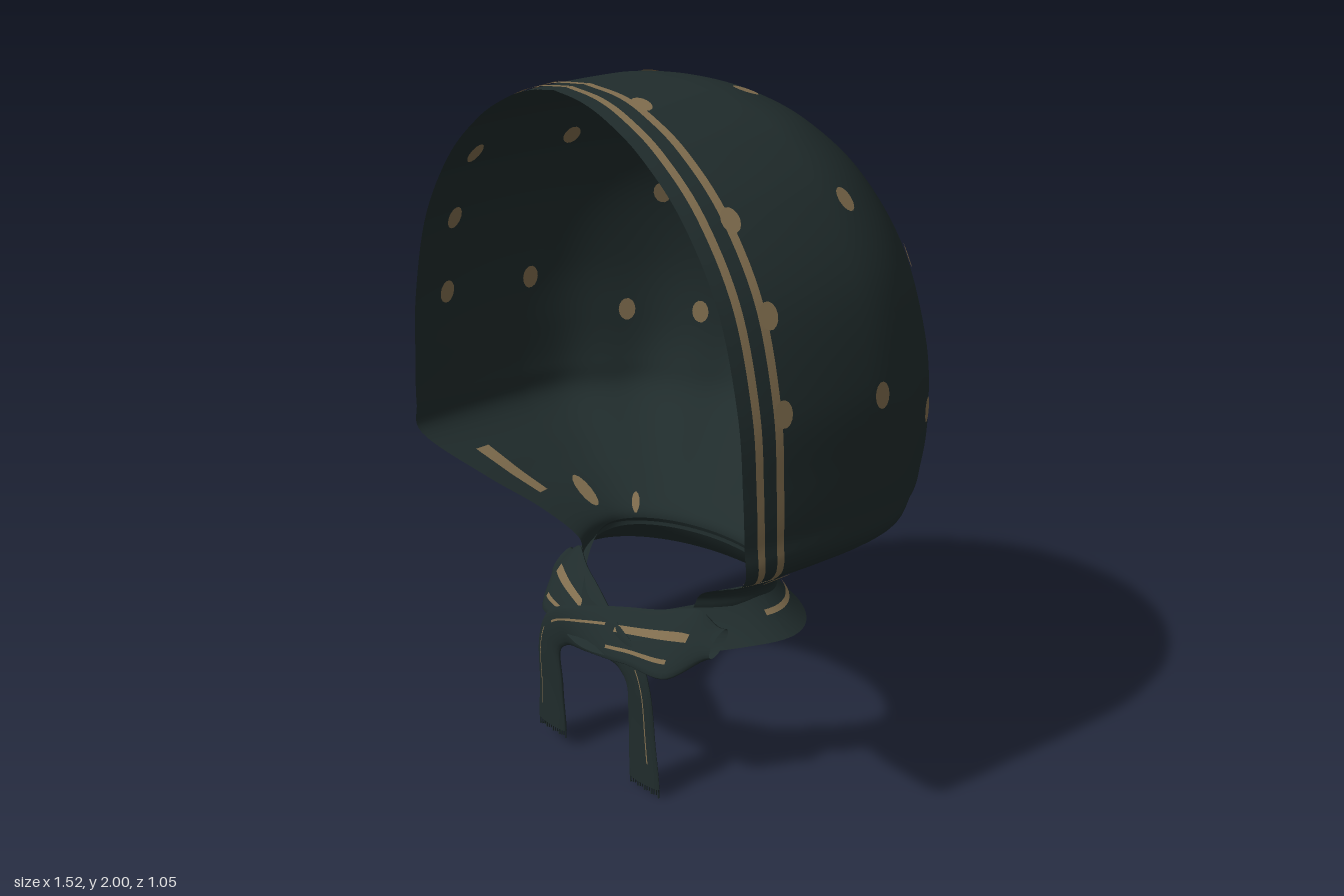
import * as THREE from 'three';

const cloth = new THREE.MeshStandardMaterial({ color: 0x202c2c, side: THREE.DoubleSide });
cloth.name = 'dark cloth';
const tan = new THREE.MeshStandardMaterial({ color: 0x806d4e, side: THREE.DoubleSide });
tan.name = 'tan print';

const V = (x, y, z) => new THREE.Vector3(x, y, z);
const { smoothstep, lerp } = THREE.MathUtils;

// Mesh over a grid: fn(s, t) gives a point, s and t run from 0 to 1
function sheet(name, fn, ns, nt, material) {
  const pos = [], index = [];
  for (let i = 0; i <= ns; i++) {
    for (let j = 0; j <= nt; j++) pos.push(...fn(i / ns, j / nt).toArray());
  }
  for (let i = 0; i < ns; i++) {
    for (let j = 0; j < nt; j++) {
      const a = i * (nt + 1) + j, b = a + nt + 1;
      index.push(a, a + 1, b, b, a + 1, b + 1);
    }
  }
  const g = new THREE.BufferGeometry();
  g.setAttribute('position', new THREE.Float32BufferAttribute(pos, 3));
  g.setIndex(index);
  g.computeVertexNormals();
  const mesh = new THREE.Mesh(g, material);
  mesh.name = name;
  return mesh;
}

// Hood sections from crown to neck: y, half width, rim half width, rim z, middle z, back z
const sections = [
  [2.0, 0, 0, 0.52, 0.2, 0.15],
  [1.985, 0.17, 0.11, 0.52, 0.16, 0.04],
  [1.95, 0.285, 0.215, 0.52, 0.12, -0.07],
  [1.88, 0.42, 0.345, 0.52, 0.1, -0.19],
  [1.75, 0.565, 0.497, 0.52, 0.1, -0.325],
  [1.55, 0.69, 0.63, 0.52, 0.1, -0.437],
  [1.3, 0.75, 0.703, 0.52, 0.1, -0.51],
  [1.1, 0.757, 0.723, 0.52, 0.1, -0.522],
  [0.96, 0.754, 0.73, 0.52, 0.1, -0.49],
  [0.86, 0.735, 0.72, 0.51, 0.1, -0.43],
  [0.75, 0.58, 0.54, 0.41, 0.1, -0.29],
  [0.67, 0.45, 0.4, 0.32, 0.09, -0.19],
  [0.6, 0.355, 0.28, 0.27, 0.08, -0.11],
  [0.55, 0.34, 0.25, 0.27, 0.08, -0.1],
];
const widths = new THREE.CatmullRomCurve3(sections.map(s => V(s[0], s[1], s[2])), false, 'catmullrom');
const depths = new THREE.CatmullRomCurve3(sections.map(s => V(s[3], s[4], s[5])), false, 'catmullrom');

// v: crown to neck; u: -1 and 1 are the two rims, 0 is the middle of the back
function hoodPoint(v, u) {
  const { x: y, y: X, z: xr } = widths.getPoint(v);
  const { x: zf, y: zc, z: zb } = depths.getPoint(v);
  const a = Math.abs(u), side = u < 0 ? -1 : 1;
  if (a > 0.6) {
    const w = (a - 0.6) / 0.4;
    return V(side * (X + (xr - X) * w * w), y, zc + (zf - zc) * w);
  }
  // gathered pleats, strongest between cheek and neck
  const ang = (a / 0.6) * Math.PI / 2;
  const fade = smoothstep(y, 0.55, 0.8) * (1 - smoothstep(y, 0.9, 1.5));
  const k = 1 + 0.018 * fade * Math.cos(ang * 14) * Math.cos(ang);
  return V(side * X * k * Math.sin(ang), y, zc - (zc - zb) * k * Math.cos(ang));
}

function hoodNormal(v, u) {
  const e = 0.004, v0 = Math.max(0, v - e), v1 = Math.min(1, v + e);
  const p = hoodPoint(v, u);
  const du = hoodPoint(v, Math.min(1, u + e)).sub(hoodPoint(v, Math.max(-1, u - e)));
  const dv = hoodPoint(v1, u).sub(hoodPoint(v0, u));
  const n = du.cross(dv).normalize();
  return n.dot(p.sub(V(0, 1.2, 0.15))) < 0 ? n.negate() : n;
}

// Printed dot on both faces of the hood, nearest to a target, with its mirror twin
function dotPair(target, width, height, group) {
  let best = Infinity, bv = 0, bu = 0;
  for (let i = 1; i < 150; i++) {
    for (let j = 0; j < 150; j++) {
      const d = hoodPoint(i / 150, j / 150).distanceToSquared(target);
      if (d < best) { best = d; bv = i / 150; bu = j / 150; }
    }
  }
  for (const side of [-1, 1]) {
    const p = hoodPoint(bv, bu * side), n = hoodNormal(bv, bu * side);
    for (const face of [-1, 1]) {
      const dot = new THREE.Mesh(new THREE.CircleGeometry(1, 14), tan);
      dot.name = 'printedDot';
      dot.position.copy(p).addScaledVector(n, face * 0.004);
      dot.lookAt(dot.position.clone().addScaledVector(n, face));
      dot.scale.set(width, height, 1);
      group.add(dot);
    }
  }
}

// Stripe that keeps a distance of d0 to d1 from the rim, between rows v0 and v1
function rimStripe(name, side, v0, v1, d0, d1, lift) {
  return sheet(name, (s, t) => {
    const v = lerp(v0, v1, s), z = depths.getPoint(v);
    const gap = v < 0.3 ? z.x - z.y : 0.42;
    const u = side * (1 - 0.4 * lerp(d0, d1, t) / gap);
    return hoodPoint(v, u).addScaledVector(hoodNormal(v, u), lift);
  }, 60, 2, tan);
}

// Collar: t runs around the neck, s from its top edge to its flared hem
function collarPoint(s, t, lift = 0) {
  const a = t * Math.PI * 2, front = Math.max(0, Math.sin(a));
  const flare = s * s * 0.35 + s * 0.65, rx = 0.335 + 0.115 * flare + lift;
  const rz = (front > 0 ? 0.19 + 0.06 * front * front : 0.18) + 0.07 * flare + lift;
  return V(rx * Math.cos(a), 0.575 - 0.105 * s - 0.07 * front ** 3 + lift, 0.085 + (rz + 0.07 * front ** 3) * Math.sin(a));
}

// Strap that crosses the front and hangs down as a tail
function makeStrap(side, endY, zShift) {
  const group = new THREE.Group();
  group.name = side > 0 ? 'overStrap' : 'underStrap';
  const path = new THREE.CatmullRomCurve3([
    V(0.37, 0.485, 0.27), V(0.28, 0.475, 0.34), V(0.14, 0.465, 0.39), V(-0.02, 0.44, 0.425),
    V(-0.14, 0.405, 0.435), V(-0.19, 0.33, 0.436), V(-0.195, 0.2, 0.43), V(-0.2, endY, 0.426),
  ].map(p => V(p.x * side, p.y, p.z + zShift)), false, 'catmullrom');
  const halfWidths = [0.035, 0.085, 0.066, 0.064, 0.058, 0.05, 0.056, 0.066];
  const halfWidth = s => {
    const i = Math.min(6, Math.floor(s * 7));
    return lerp(halfWidths[i], halfWidths[i + 1], smoothstep(s * 7 - i, 0, 1));
  };
  // the lobe leans back at its top edge, the tail hangs upright
  const point = (s, a, lift = 0) => {
    const t = path.getTangent(s), across = V(-t.y, t.x, 0).normalize();
    across.z = -across.y * 0.8 * (1 - smoothstep(s, 0.25, 0.55));
    const thick = lerp(0.026, 0.012, Math.min(1, s * 1.4)) + lift;
    return path.getPoint(s).addScaledVector(across, -side * halfWidth(s) * Math.cos(a))
      .add(V(0, 0, thick * Math.sin(a)));
  };
  group.add(sheet('strapCloth', (s, t) => point(s, t * Math.PI * 2), 56, 18, cloth));
  // printed streaks: start and end along the strap, then across it from the upper or outer edge
  for (const [s0, s1, a0, a1] of [
    [0.1, 0.33, 1.15, 1.42], [0.14, 0.34, 1.95, 2.1], [0.36, 0.58, 1.1, 1.22], [0.64, 0.94, 0.98, 1.06],
  ]) {
    group.add(sheet('strapStreak', (s, t) =>
      point(lerp(s0, s1, s), lerp(a0, a1, t), 0.004), 14, 2, tan));
  }
  // fringe threads along the tail end
  for (let i = 0; i < 13; i++) {
    const thread = new THREE.Mesh(new THREE.BoxGeometry(0.003, 0.03, 0.004), cloth);
    thread.name = 'fringeThread';
    thread.position.set(side * -0.2 + (i / 12 - 0.5) * 0.124, endY - 0.011 + (i % 3) * 0.003, 0.426 + zShift);
    group.add(thread);
  }
  return group;
}

export function createModel() {
  const model = new THREE.Group();
  model.name = 'headscarf';

  const hood = new THREE.Group();
  hood.name = 'hood';
  hood.add(sheet('hoodCloth', (s, t) => hoodPoint(s, t * 2 - 1), 90, 160, cloth));

  // two border stripes along the face opening, ending in broad patches under the cheek
  for (const side of [-1, 1]) {
    hood.add(rimStripe('outerStripe', side, 0, 0.71, 0.037, 0.059, 0.004));
    hood.add(rimStripe('innerStripe', side, 0, 0.73, 0.097, 0.12, 0.004));
    for (const lift of [-0.004, 0.004]) {
      hood.add(rimStripe('cheekPatch', side, 0.735, 0.83, 0.097, 0.155, lift));
    }
  }
  const dots = [
    [0.19, 1.76, -0.3], [0.19, 1.31, -0.48], [0.52, 1.52, -0.29], [0.46, 1.13, -0.38],
    [0.62, 1.12, -0.22], [0.2, 1.97, 0.03], [0.57, 1.74, 0.03], [0.74, 1.26, 0.07],
    [0.2, 1.97, 0.395], [0.53, 1.74, 0.395], [0.66, 1.52, 0.395], [0.73, 1.29, 0.395],
  ];
  for (const d of dots) dotPair(V(...d), 0.027, 0.036, hood);
  // dots stretched by the gathers at the neck
  dotPair(V(0.43, 0.66, 0.12), 0.024, 0.065, hood);
  dotPair(V(0.33, 0.62, 0), 0.012, 0.035, hood);
  model.add(hood);

  // gathered collar with a printed line around its back
  const collar = new THREE.Group();
  collar.name = 'collar';
  collar.add(sheet('collarCloth', (s, t) => collarPoint(s, t), 8, 72, cloth));
  collar.add(sheet('collarStripe', (s, t) => collarPoint(0.4 + 0.12 * s, 0.48 + 0.54 * t, 0.004), 2, 40, tan));
  model.add(collar);

  // crossed straps of the knot
  model.add(makeStrap(1, 0.06, 0.012), makeStrap(-1, 0.026, -0.012));
  return model;
}
